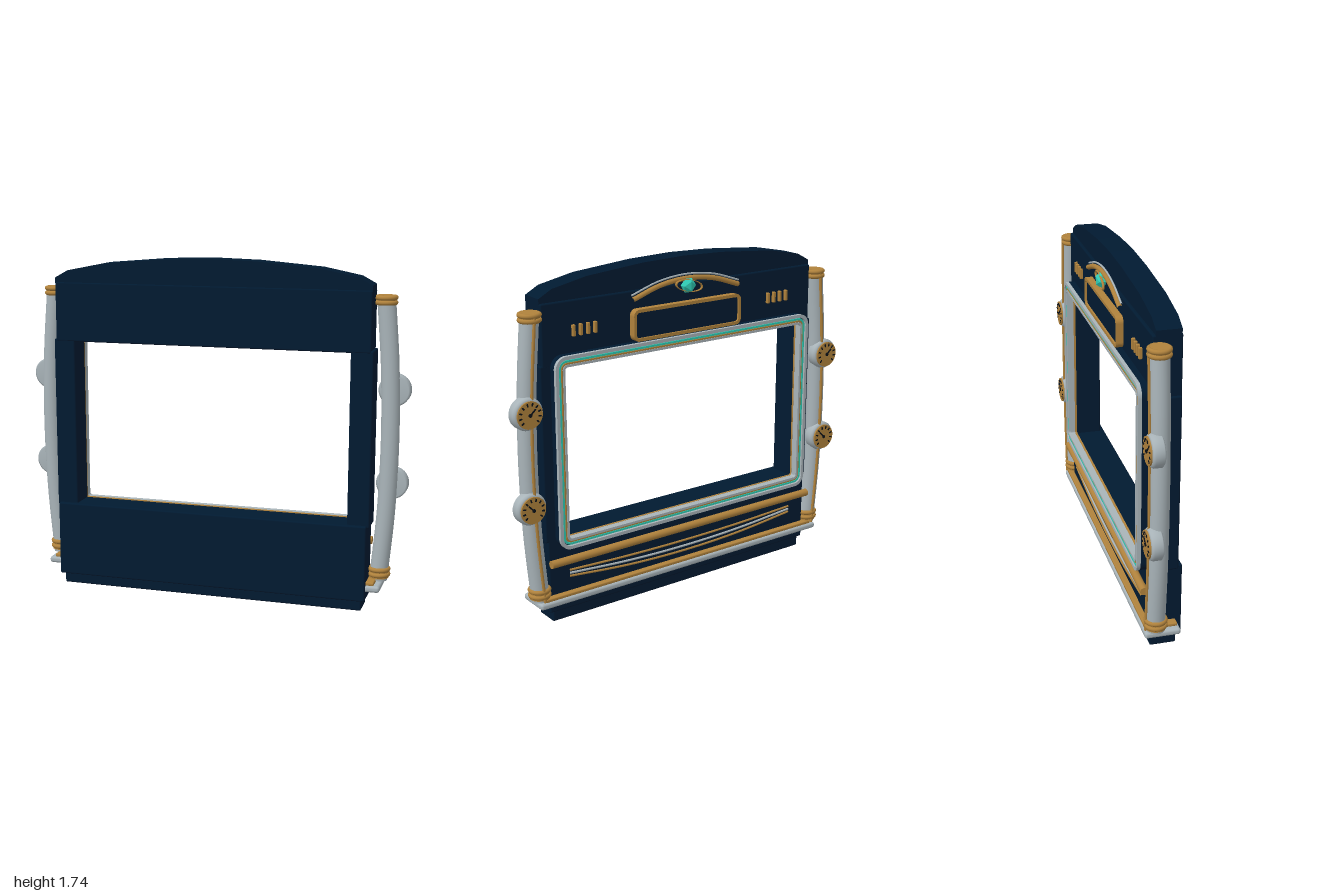
import * as THREE from 'three';
import { RoundedBoxGeometry } from 'three/addons/geometries/RoundedBoxGeometry.js';

const mat = (name, color) => {
  const m = new THREE.MeshStandardMaterial({ color });
  m.name = name;
  return m;
};

export function createModel() {
  const root = new THREE.Group();
  root.name = 'ornateScreenFrame';
  const navy = mat('navy', 0x011a31), silver = mat('silver', 0xa9b4b9);
  const gold = mat('gold', 0xb0823c), teal = mat('teal', 0x30cdb6), dark = mat('dark', 0x0b1118);

  const add = (name, geo, material, parent = root) => {
    const m = new THREE.Mesh(geo, material);
    m.name = name;
    parent.add(m);
    return m;
  };
  // Rounded box given by its limits
  const box = (name, x0, x1, y0, y1, z0, z1, material, r = 0.008) => {
    const m = add(name, new RoundedBoxGeometry(x1 - x0, y1 - y0, z1 - z0, 2, r), material);
    m.position.set((x0 + x1) / 2, (y0 + y1) / 2, (z0 + z1) / 2);
    return m;
  };
  // Rounded rectangle outline, half width w, from y0 to y1
  const roundRect = (w, y0, y1, r, C = THREE.Shape) => {
    const s = new C();
    s.moveTo(-w + r, y0);
    s.lineTo(w - r, y0);
    s.absarc(w - r, y0 + r, r, -Math.PI / 2, 0);
    s.lineTo(w, y1 - r);
    s.absarc(w - r, y1 - r, r, 0, Math.PI / 2);
    s.lineTo(-w + r, y1);
    s.absarc(-w + r, y1 - r, r, Math.PI / 2, Math.PI);
    s.lineTo(-w, y0 + r);
    s.absarc(-w + r, y0 + r, r, Math.PI, Math.PI * 1.5);
    return s;
  };
  // Flat rounded-rectangle ring between z0 and z1
  const ring = (name, w, y0, y1, r, t, z0, z1, material) => {
    const s = roundRect(w, y0, y1, r);
    s.holes.push(roundRect(w - t, y0 + t, y1 - t, Math.max(r - t, 0.008), THREE.Path));
    const g = new THREE.ExtrudeGeometry(s, { depth: z1 - z0, bevelEnabled: false, curveSegments: 8 });
    add(name, g, material).position.z = z0;
  };
  const tube = (name, points, r, material, seg = 32, sides = 8) => add(name,
    new THREE.TubeGeometry(new THREE.CatmullRomCurve3(points.map(p => new THREE.Vector3(...p))), seg, r, sides), material);

  // Cabinet
  box('plinth', -0.8, 0.8, 0, 0.07, -0.04, 0.09, navy);
  box('lowerBody', -0.82, 0.82, 0.055, 0.444, -0.05, 0.11, navy);
  box('header', -0.82, 0.82, 1.303, 1.607, -0.05, 0.09, navy);
  for (const s of [-1, 1]) {
    const post = box('sidePost', 0.72, 0.832, 0.43, 1.315, -0.05, 0.088, navy);
    post.position.x *= s;
  }
  const half = [[0.82, 1.6], [0.82, 1.63], [0.75, 1.668], [0.56, 1.706], [0.24, 1.733]];
  const outline = [...half, [0, 1.74], ...half.map(([x, y]) => [-x, y]).reverse()];
  const archShape = new THREE.Shape(outline.map(p => new THREE.Vector2(...p)));
  add('archedTop', new THREE.ExtrudeGeometry(archShape, { depth: 0.12, bevelEnabled: false }), navy).position.z = -0.035;

  // Ledge with its trim
  box('ledge', -0.89, 0.89, 0.1, 0.134, -0.088, 0.09, silver, 0.014);
  box('ledgeTrim', -0.86, 0.86, 0.132, 0.15, -0.08, 0.08, gold, 0.006);

  // Layered screen surround: navy skirt, silver bed, coloured lines
  ring('surroundSkirt', 0.778, 0.392, 1.358, 0.06, 0.02, -0.082, -0.048, navy);
  ring('surroundOuterRim', 0.778, 0.392, 1.358, 0.06, 0.017, -0.1, -0.082, silver);
  ring('surroundBed', 0.758, 0.412, 1.338, 0.042, 0.033, -0.084, -0.06, silver);
  ring('surroundInnerLip', 0.758, 0.412, 1.338, 0.042, 0.034, -0.06, -0.048, gold);
  ring('surroundTealLine', 0.757, 0.413, 1.337, 0.042, 0.01, -0.094, -0.084, teal);
  ring('surroundGoldLine', 0.745, 0.425, 1.325, 0.032, 0.008, -0.094, -0.084, gold);
  ring('surroundInnerRim', 0.737, 0.433, 1.317, 0.026, 0.012, -0.097, -0.084, silver);

  // Header plaque, arc and vents
  const plate = new THREE.ExtrudeGeometry(roundRect(0.315, 1.373, 1.509, 0.024), { depth: 0.03, bevelEnabled: false });
  add('plaquePlate', plate, navy).position.z = -0.076;
  ring('plaqueFrame', 0.328, 1.362, 1.52, 0.032, 0.016, -0.086, -0.048, gold);
  const arc = (rise, w, y, z) => [-1, -0.5, 0, 0.5, 1].map(t => [t * w, y + rise * (1 - t * t), z]);
  tube('goldArc', arc(0.068, 0.322, 1.566, -0.066), 0.013, gold);
  tube('silverArc', arc(0.068, 0.328, 1.586, -0.06), 0.005, silver);
  for (const s of [-1, 1]) {
    for (let i = 0; i < 4; i++) {
      box('vent', -0.008, 0.008, 1.436, 1.492, -0.066, -0.046, gold, 0.004).position.x = s * (0.53 + i * 0.04);
    }
  }

  // Faceted gem with a tilted ring
  const gem = add('gem', new THREE.IcosahedronGeometry(0.041, 0), teal);
  gem.position.set(0, 1.6, -0.078);
  gem.scale.z = 0.75;
  const halo = add('gemRing', new THREE.TorusGeometry(0.08, 0.006, 8, 32), gold);
  halo.position.set(0, 1.6, -0.085);
  halo.scale.set(1, 0.36, 1);
  halo.rotation.z = 0.2;

  // Lower rail and drooping strands
  const rail = add('lowerRail', new THREE.CylinderGeometry(0.02, 0.02, 1.646, 16), gold);
  rail.rotation.z = Math.PI / 2;
  rail.position.set(0, 0.326, -0.076);
  [[0.262, 0.02, gold], [0.246, 0.035, silver], [0.23, 0.045, gold]].forEach(([y, sag, m]) =>
    tube('strand', arc(-sag, 0.71, y, -0.056), 0.006, m));

  // Gauge facing the back
  const makeGauge = (angle) => {
    const g = new THREE.Group();
    g.name = 'gauge';
    const profile = [[0, -0.038], [0.07, -0.038], [0.08, -0.03], [0.08, 0.008], [0.074, 0.018], [0.064, 0.023], [0, 0.023]];
    const shell = add('gaugeShell', new THREE.LatheGeometry(profile.map(p => new THREE.Vector2(...p)), 32), silver, g);
    shell.rotation.x = -Math.PI / 2;
    const face = add('gaugeFace', new THREE.CylinderGeometry(0.067, 0.067, 0.008, 32), gold, g);
    face.rotation.x = Math.PI / 2;
    face.position.z = -0.027;
    for (let i = 0; i < 10; i++) {
      const a = -0.7 + i * (Math.PI + 1.4) / 9;
      const tick = add('gaugeTick', new THREE.BoxGeometry(0.015, 0.007, 0.004), dark, g);
      tick.position.set(Math.cos(a) * 0.052, Math.sin(a) * 0.052, -0.032);
      tick.rotation.z = a;
    }
    const needle = add('gaugeNeedle', new THREE.BoxGeometry(0.046, 0.007, 0.004), dark, g);
    needle.position.set(Math.cos(angle) * 0.016, Math.sin(angle) * 0.016, -0.033);
    needle.rotation.z = angle;
    const hub = add('gaugeHub', new THREE.CylinderGeometry(0.009, 0.009, 0.006, 12), dark, g);
    hub.rotation.x = Math.PI / 2;
    hub.position.z = -0.033;
    return g;
  };

  // Bowed side columns with collars and gauges
  for (const s of [-1, 1]) {
    const bow = (z) => [0.14, 0.5, 0.87, 1.22, 1.56].map(y => [s * (0.905 - 0.037 * ((y - 0.87) / 0.7) ** 2), y, z]);
    tube('sideColumn', bow(-0.032), 0.046, silver, 32, 20);
    tube('columnTrim', bow(-0.08), 0.008, gold);
    for (const [y, h] of [[1.556, 0.04], [0.178, 0.055]]) {
      add('collar', new THREE.CylinderGeometry(0.05, 0.05, h, 24), gold).position.set(s * 0.868, y, -0.032);
    }
    for (const y of [1.541, 1.565, 0.168, 0.195]) {
      const band = add('collarBand', new THREE.TorusGeometry(0.046, 0.012, 10, 28), gold);
      band.rotation.x = Math.PI / 2;
      band.position.set(s * 0.868, y, -0.032);
    }
    for (const [y, a] of [[1.11, 2.4], [0.64, 0.8]]) {
      const g = makeGauge(a);
      g.position.set(s * 0.92, y, -0.068);
      root.add(g);
    }
  }
  return root;
}
